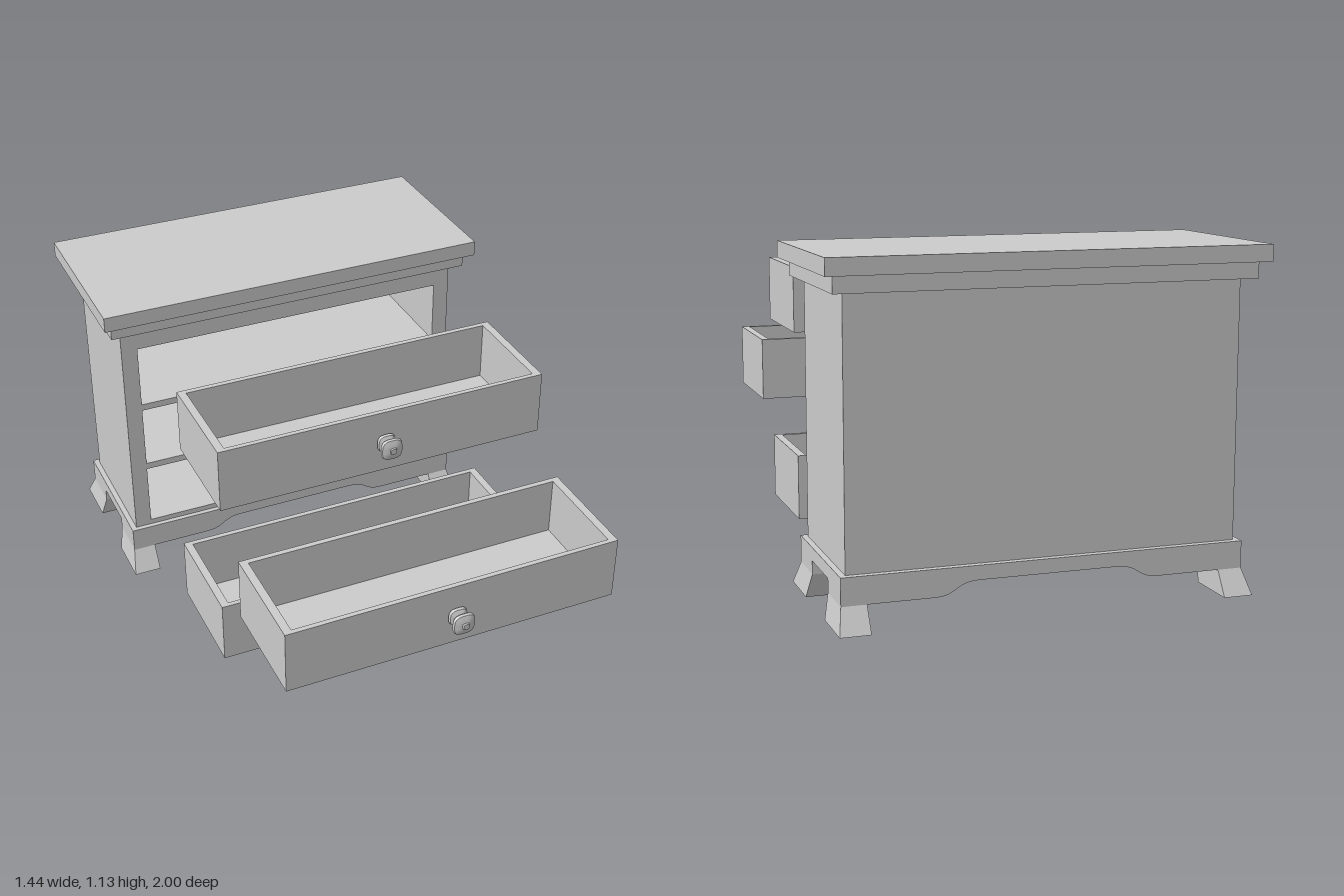
import * as THREE from 'three';
import { toCreasedNormals } from 'three/addons/utils/BufferGeometryUtils.js';

const material = new THREE.MeshStandardMaterial({ color: 0xcccccc });

function add(parent, name, geometry) {
  const mesh = new THREE.Mesh(geometry, material);
  mesh.name = name;
  parent.add(mesh);
  return mesh;
}

// Box given by its limits on each axis
function block(x0, x1, y0, y1, z0, z1) {
  return new THREE.BoxGeometry(x1 - x0, y1 - y0, z1 - z0)
    .translate((x0 + x1) / 2, (y0 + y1) / 2, (z0 + z1) / 2);
}

function rect(Type, x0, x1, y0, y1) {
  return new Type([[x0, y0], [x1, y0], [x1, y1], [x0, y1]].map(p => new THREE.Vector2(...p)));
}

function extrude(shape, depth) {
  return new THREE.ExtrudeGeometry(shape, { depth, bevelEnabled: false, curveSegments: 8 });
}

// Cabinet shell with three openings, closed by a back panel
function makeCabinet() {
  const cabinet = new THREE.Group();
  cabinet.name = 'cabinet';
  const face = rect(THREE.Shape, -0.65, 0.65, 0.17, 1.03);
  for (const y of [0.19, 0.45, 0.71]) face.holes.push(rect(THREE.Path, -0.59, 0.59, y, y + 0.235));
  add(cabinet, 'carcass', extrude(face, 0.45).translate(0, 0, -0.89));
  add(cabinet, 'backPanel', block(-0.65, 0.65, 0.17, 1.03, -0.92, -0.89));
  add(cabinet, 'cornice', block(-0.69, 0.69, 1.025, 1.08, -0.965, -0.405));
  add(cabinet, 'top', block(-0.72, 0.72, 1.08, 1.135, -1, -0.37));
  return cabinet;
}

// Foot flaring outwards towards the floor; sx and sz choose the corner
function footGeometry(sx, sz) {
  const g = new THREE.BoxGeometry(1, 1, 1);
  const p = g.attributes.position;
  for (let i = 0; i < p.count; i++) {
    const low = p.getY(i) < 0;
    const outX = p.getX(i) * sx > 0, outZ = p.getZ(i) * sz > 0;
    const x = outX ? (low ? 0.687 : 0.67) : 0.588;
    const z = outZ ? (low ? 0.31 : 0.26) : (low ? 0.125 : 0.102);
    p.setXYZ(i, sx * x, low ? 0 : 0.08, -0.682 + sz * z);
  }
  g.computeVertexNormals();
  return g;
}

// Base with scalloped front and back aprons
function makeBase() {
  const base = new THREE.Group();
  base.name = 'base';
  const s = new THREE.Shape();
  s.moveTo(-0.67, 0.17);
  s.lineTo(-0.67, 0.08);
  s.lineTo(-0.37, 0.08);
  s.bezierCurveTo(-0.3, 0.08, -0.31, 0.123, -0.23, 0.123);
  s.lineTo(0.23, 0.123);
  s.bezierCurveTo(0.31, 0.123, 0.3, 0.08, 0.37, 0.08);
  s.lineTo(0.67, 0.08);
  s.lineTo(0.67, 0.17);
  s.closePath();
  const apron = toCreasedNormals(extrude(s, 0.158), 0.6);
  add(base, 'frontApron', apron.clone().translate(0, 0, -0.58));
  add(base, 'backApron', apron.clone().translate(0, 0, -0.942));
  add(base, 'basePlate', block(-0.67, 0.67, 0.125, 0.17, -0.784, -0.58));
  for (const sx of [-1, 1]) {
    for (const sz of [-1, 1]) add(base, sz > 0 ? 'frontFoot' : 'backFoot', footGeometry(sx, sz));
  }
  return base;
}

// Turned knob with a rounded-square section, pointing to +z
function knobGeometry() {
  const profile = [[0, 0], [0.024, 0], [0.032, 0.008], [0.03, 0.018], [0.016, 0.026], [0.016, 0.034],
    [0.034, 0.042], [0.039, 0.05], [0.036, 0.058], [0.022, 0.064], [0.012, 0.066], [0.01, 0.071], [0, 0.071]];
  const g = new THREE.LatheGeometry(profile.map(q => new THREE.Vector2(...q)), 24);
  const p = g.attributes.position;
  for (let i = 0; i < p.count; i++) {
    const x = p.getX(i), z = p.getZ(i), r = Math.hypot(x, z);
    if (r < 1e-6) continue;
    const k = Math.pow(Math.abs(x / r) ** 3.2 + Math.abs(z / r) ** 3.2, -1 / 3.2);
    p.setX(i, x * k);
    p.setZ(i, z * k);
  }
  g.rotateX(Math.PI / 2);
  return toCreasedNormals(g, 0.7);
}

// Open drawer: four walls, a floor and a knob; origin at the front bottom
function makeDrawer(name, y, z, height) {
  const drawer = new THREE.Group();
  drawer.name = name;
  const rim = rect(THREE.Shape, -0.588, 0.588, 0, 0.394);
  rim.holes.push(rect(THREE.Path, -0.56, 0.56, 0.017, 0.375));
  add(drawer, 'drawerWalls', extrude(rim, height).rotateX(-Math.PI / 2));
  add(drawer, 'drawerFloor', block(-0.565, 0.565, 0, 0.02, -0.38, -0.01));
  add(drawer, 'knob', knobGeometry()).position.y = height / 2;
  drawer.position.set(0, y, z);
  return drawer;
}

export function createModel() {
  const model = new THREE.Group();
  model.name = 'chestOfDrawers';
  model.add(
    makeCabinet(),
    makeBase(),
    makeDrawer('topDrawer', 0.783, 0.383, 0.228),
    makeDrawer('middleDrawer', 0.455, 0.929, 0.228),
    makeDrawer('bottomDrawer', 0.124, 0.35, 0.228)
  );
  return model;
}
